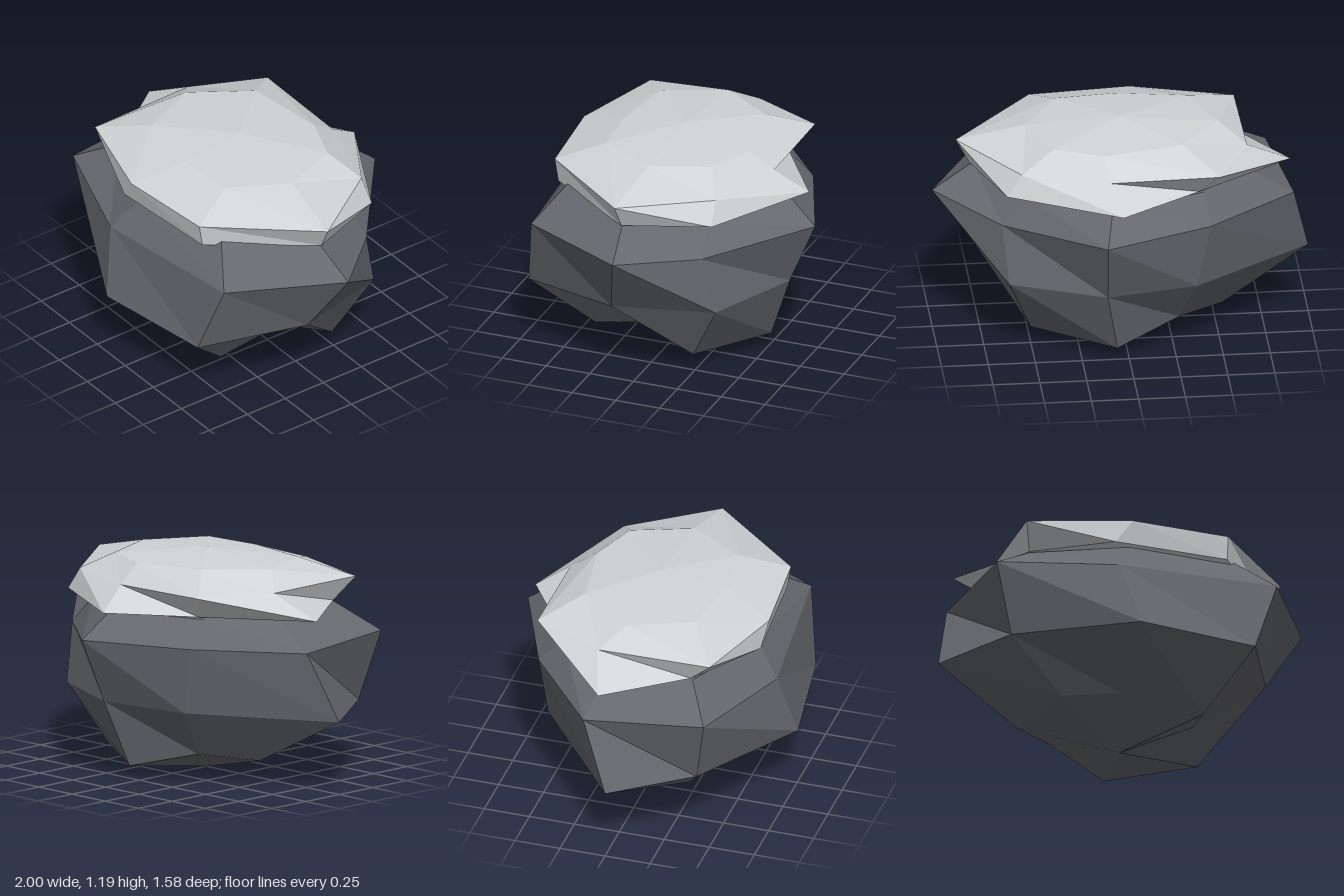
import * as THREE from 'three';

const rockGrey = new THREE.MeshStandardMaterial({ color: 0x66686e, flatShading: true });
rockGrey.name = 'rock grey';
const snowGrey = new THREE.MeshStandardMaterial({ color: 0xd0d4d6, flatShading: true });
snowGrey.name = 'snow grey';

// Faceted closed solid: top point, rings from top to bottom, bottom point.
// Each ring runs from -x past +z to +x and back.
function facetedSolid(top, rings, bottom) {
  const pos = [];
  const tri = (...corners) => corners.forEach((c) => pos.push(...c));
  const n = rings[0].length;
  const last = rings[rings.length - 1];
  for (let i = 0; i < n; i++) {
    const j = (i + 1) % n;
    tri(top, rings[0][i], rings[0][j]);
    for (let k = 0; k < rings.length - 1; k++) {
      const up = rings[k], low = rings[k + 1];
      tri(up[j], up[i], low[j]);
      tri(up[i], low[i], low[j]);
    }
    tri(last[i], bottom, last[j]);
  }
  const geo = new THREE.BufferGeometry();
  geo.setAttribute('position', new THREE.Float32BufferAttribute(pos, 3));
  geo.computeVertexNormals();
  return geo;
}

function createBoulder() {
  const shoulder = [
    [-0.66, 0.9, -0.1], [-0.6, 0.93, 0.36], [-0.12, 0.93, 0.57], [0.49, 0.96, 0.48],
    [0.78, 0.93, 0.05], [0.52, 0.89, -0.33], [0.1, 0.92, -0.62], [-0.4, 0.92, -0.42],
  ];
  const upper = [
    [-0.91, 0.77, -0.15], [-0.82, 0.79, 0.49], [-0.2, 0.76, 0.7], [0.69, 0.79, 0.61],
    [1, 0.79, 0.02], [0.66, 0.74, -0.35], [0.14, 0.78, -0.79], [-0.43, 0.78, -0.55],
  ];
  const belly = [
    [-1, 0.39, 0], [-0.72, 0.41, 0.42], [-0.11, 0.4, 0.79], [0.55, 0.39, 0.68],
    [0.77, 0.43, 0.12], [0.63, 0.425, -0.42], [0.126, 0.43, -0.64], [-0.36, 0.42, -0.52],
  ];
  const foot = [
    [-0.53, 0.13, -0.125], [-0.4, 0.155, 0.28], [-0.1, 0.18, 0.35], [0.35, 0.1, 0.38],
    [0.4, 0.19, 0.03], [0.5, 0.09, -0.24], [0.065, 0.07, -0.51], [-0.28, 0.16, -0.34],
  ];
  return facetedSolid([0, 1, 0], [shoulder, upper, belly, foot], [0, 0, 0]);
}

function createCap() {
  const crown = [
    [-0.52, 1.15, -0.03], [-0.38, 1.15, 0.3], [0, 1.15, 0.36], [0.32, 1.15, 0.33],
    [0.5, 1.15, 0.02], [0.38, 1.15, -0.3], [0.12, 1.145, -0.4], [-0.3, 1.16, -0.33],
  ];
  const rim = [
    [-0.66, 1.06, -0.15], [-0.65, 1.06, 0.47], [-0.11, 1.06, 0.63], [0.43, 1.06, 0.58],
    [0.87, 1.06, 0.06], [0.56, 1.05, -0.39], [0.1, 1.05, -0.54], [-0.48, 1.06, -0.54],
  ];
  const hem = [
    [-0.9, 0.93, -0.07], [-0.6, 0.94, 0.35], [-0.2, 0.935, 0.61], [0.43, 0.935, 0.56],
    [0.8, 0.93, 0.05], [0.64, 0.93, -0.4], [0.05, 0.93, -0.72], [-0.38, 0.93, -0.43],
  ];
  return facetedSolid([0, 1.19, 0], [crown, rim, hem], [0, 0.92, 0]);
}

export function createModel() {
  const group = new THREE.Group();
  group.name = 'snowyRock';

  const boulder = new THREE.Mesh(createBoulder(), rockGrey);
  boulder.name = 'boulder';

  const cap = new THREE.Mesh(createCap(), snowGrey);
  cap.name = 'snowCap';

  group.add(boulder, cap);
  return group;
}
